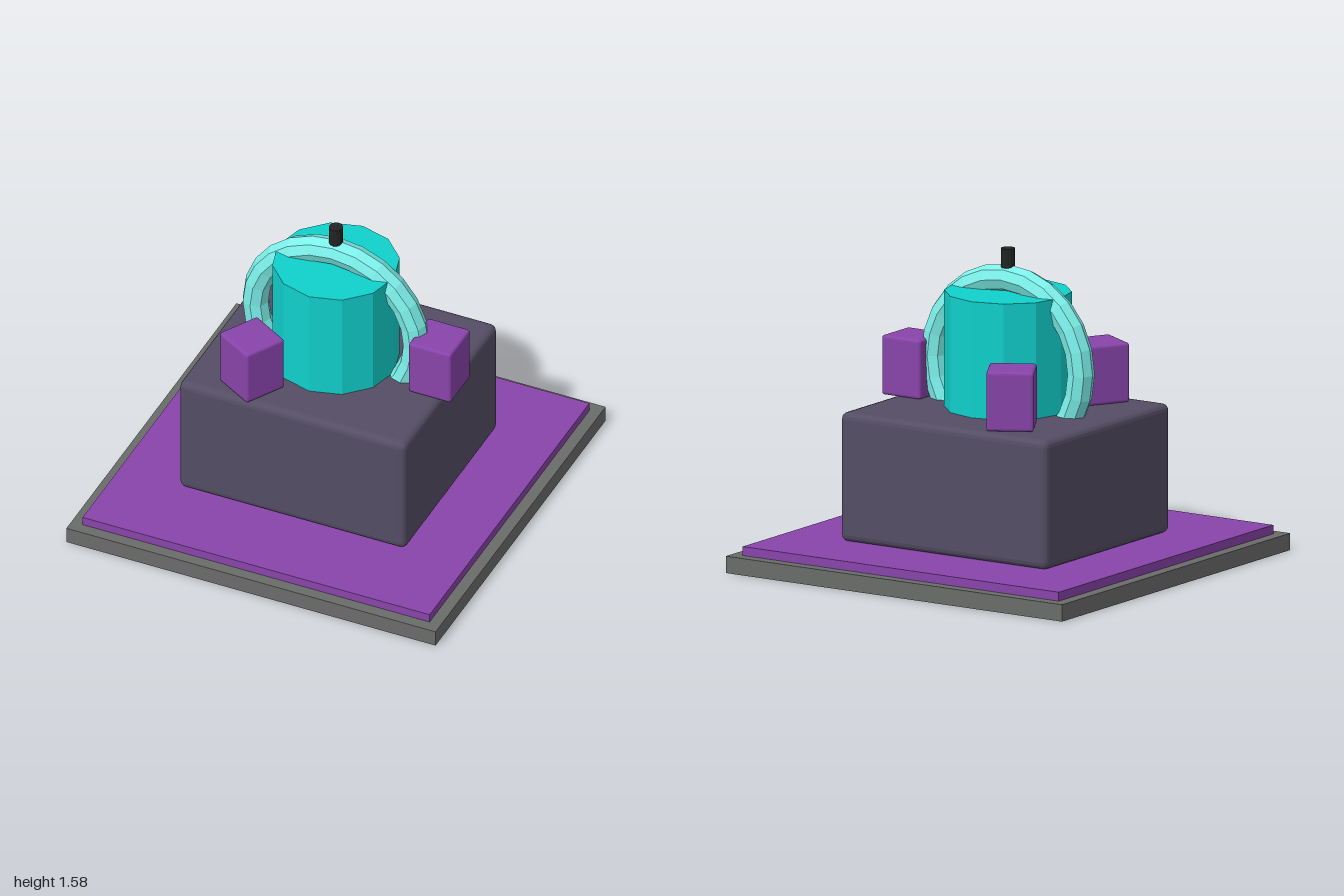
import * as THREE from 'three';
import { RoundedBoxGeometry } from 'three/addons/geometries/RoundedBoxGeometry.js';

const material = (color) => new THREE.MeshStandardMaterial({ color, flatShading: true });
const grey = material(0x6a6c6a);
const purple = material(0x8844aa);
const slate = material(0x544d64);
const teal = material(0x10d0cc);
const aqua = material(0x7cf0ea);
const black = material(0x222424);

export function createModel() {
  const model = new THREE.Group();
  const add = (name, geometry, mat, x, y, z) => {
    const mesh = new THREE.Mesh(geometry, mat);
    mesh.name = name;
    mesh.position.set(x, y, z);
    model.add(mesh);
    return mesh;
  };

  // Stepped ground slab
  add('baseSlab', new THREE.BoxGeometry(2, 0.085, 2), grey, 0, 0.0425, 0);
  add('floorMat', new THREE.BoxGeometry(1.88, 0.045, 1.88), purple, 0, 0.1075, 0);

  // Main block, set slightly towards the back
  add('mainBlock', new RoundedBoxGeometry(1.23, 0.65, 1.095, 2, 0.035), slate, 0, 0.455, -0.025);

  // Drum with an upright ring sunk into the block
  add('drum', new THREE.CylinderGeometry(0.315, 0.315, 0.6, 12), teal, 0, 1.065, 0);
  add('ring', new THREE.TorusGeometry(0.435, 0.068, 8, 24), aqua, 0, 0.995, 0);
  add('topPin', new THREE.CylinderGeometry(0.035, 0.035, 0.13, 12), black, 0, 1.515, 0);

  // Three small blocks around the drum, each turned outwards
  const blockGeometry = new RoundedBoxGeometry(0.23, 0.3, 0.235, 2, 0.015);
  for (let i = 0; i < 3; i++) {
    const a = (i * Math.PI * 2) / 3;
    const block = add('sideBlock' + (i + 1), blockGeometry, purple, Math.cos(a) * 0.56, 0.93, Math.sin(a) * 0.44);
    block.rotation.y = -a;
  }

  return model;
}
